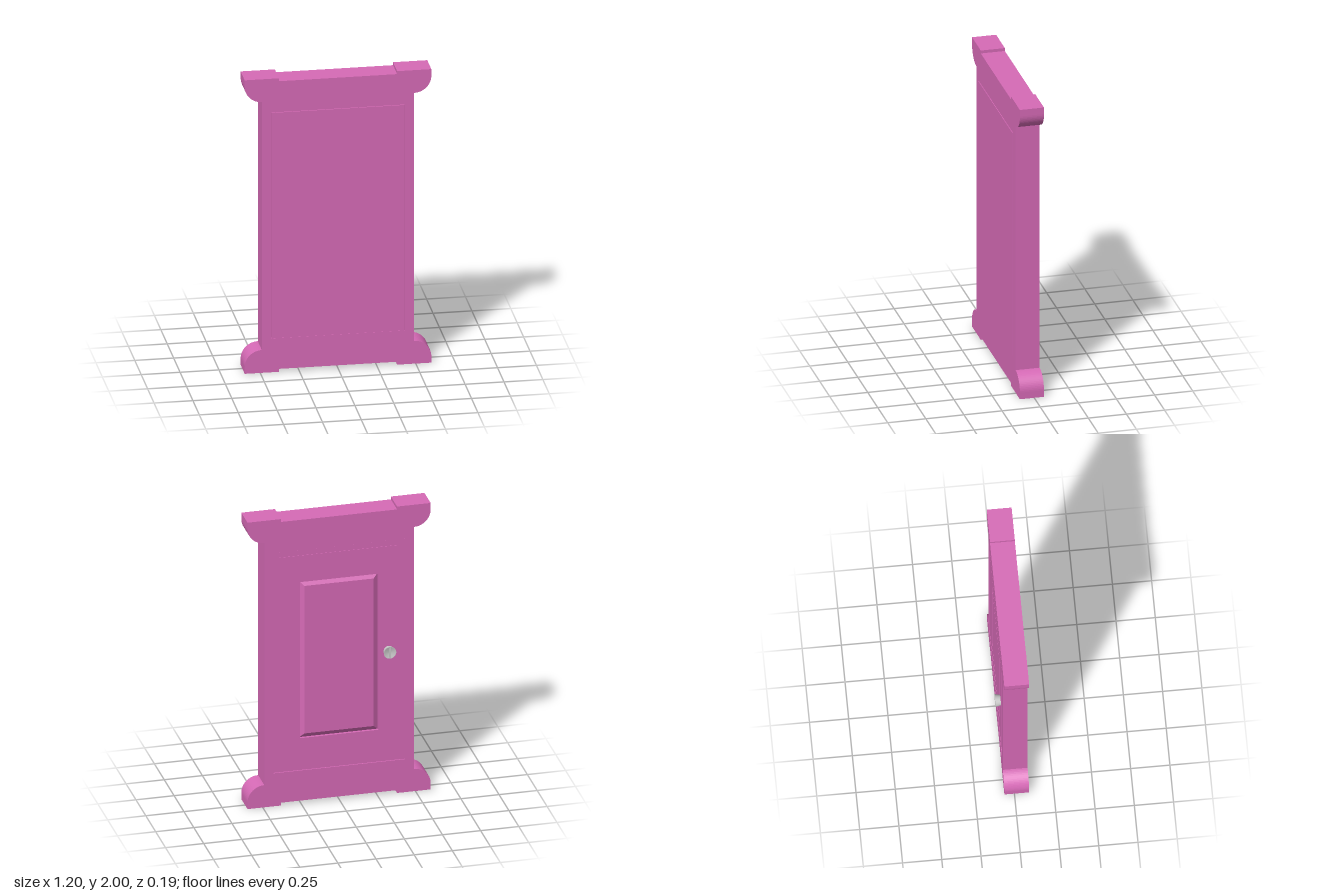
import * as THREE from 'three';

const pink = new THREE.MeshStandardMaterial({ color: 0xd66ab6 });
const grey = new THREE.MeshStandardMaterial({ color: 0xcccccc });

const BACK = -0.064, FRONT = 0.094;   // faces of the surround

// Rectangle centred at height 1
function rect(target, hw, hh) {
  target.moveTo(-hw, 1 - hh);
  target.lineTo(hw, 1 - hh);
  target.lineTo(hw, 1 + hh);
  target.lineTo(-hw, 1 + hh);
  target.closePath();
  return target;
}

// Flat plate between two z values
function plate(shape, z0, z1, name) {
  const geo = new THREE.ExtrudeGeometry(shape, { depth: z1 - z0, bevelEnabled: false, curveSegments: 16 });
  geo.translate(0, 0, z0);
  const mesh = new THREE.Mesh(geo, pink);
  mesh.name = name;
  return mesh;
}

// Surround outline: straight posts, rounded feet and caps, shallow notches
function surroundShape() {
  const quarter = [[0.38, 0.02], [0.38, 0], [0.6, 0], [0.6, 0.045]];
  for (let i = 1; i <= 16; i++) {
    const a = (i / 16) * Math.PI / 2;
    quarter.push([0.49 + 0.11 * Math.cos(a), 0.045 + 0.11 * Math.sin(a)]);
  }
  const right = [...quarter, ...quarter.map(([x, y]) => [x, 2 - y]).reverse()];
  const left = right.map(([x, y]) => [-x, y]).reverse();
  return new THREE.Shape([...right, ...left].map(([x, y]) => new THREE.Vector2(x, y)));
}

export function createModel() {
  const group = new THREE.Group();

  // Surround with the door opening
  const outline = surroundShape();
  outline.holes.push(rect(new THREE.Path(), 0.43, 0.77));
  group.add(plate(outline, BACK, FRONT, 'surround'));

  // Door: solid core standing just proud of the front, two stepped layers on the back
  group.add(plate(rect(new THREE.Shape(), 0.428, 0.768), -0.044, 0.097, 'doorCore'));
  [[0.428, 0.768, -0.06, -0.044, 'doorRabbet'], [0.39, 0.73, -0.063, -0.06, 'doorFrame']]
    .forEach(([hw, hh, z0, z1, name]) => {
      const shape = rect(new THREE.Shape(), hw, hh);
      shape.holes.push(rect(new THREE.Path(), 0.257, 0.545));
      group.add(plate(shape, z0, z1, name));
    });

  // Fielded panel with sloped edges
  const field = new THREE.BoxGeometry(0.514, 1.09, 0.019);
  const p = field.attributes.position;
  for (let i = 0; i < p.count; i++) {
    if (p.getZ(i) < 0) {
      p.setX(i, p.getX(i) - Math.sign(p.getX(i)) * 0.03);
      p.setY(i, p.getY(i) - Math.sign(p.getY(i)) * 0.03);
    }
  }
  field.computeVertexNormals();
  field.translate(0, 1, -0.0535);
  const panel = new THREE.Mesh(field, pink);
  panel.name = 'doorPanel';
  group.add(panel);

  // Flared knob with a dished face and a grip bar
  const knob = new THREE.Group();
  knob.name = 'knob';
  const body = new THREE.Mesh(new THREE.CylinderGeometry(0.041, 0.033, 0.038, 32, 1, true), grey);
  body.name = 'knobBody';
  body.position.y = 0.019;
  const dish = new THREE.Mesh(new THREE.LatheGeometry(
    [[0.041, 0.038], [0.036, 0.038], [0.02, 0.033], [0, 0.031]].map(([r, h]) => new THREE.Vector2(r, h)), 32), grey);
  dish.name = 'knobFace';
  dish.material = grey.clone();
  dish.material.side = THREE.DoubleSide;
  const bar = new THREE.Mesh(new THREE.BoxGeometry(0.01, 0.01, 0.074), grey);
  bar.name = 'knobGrip';
  bar.position.y = 0.033;
  knob.add(body, dish, bar);
  knob.rotation.x = -Math.PI / 2;
  knob.position.set(-0.325, 1, -0.06);
  group.add(knob);

  return group;
}
